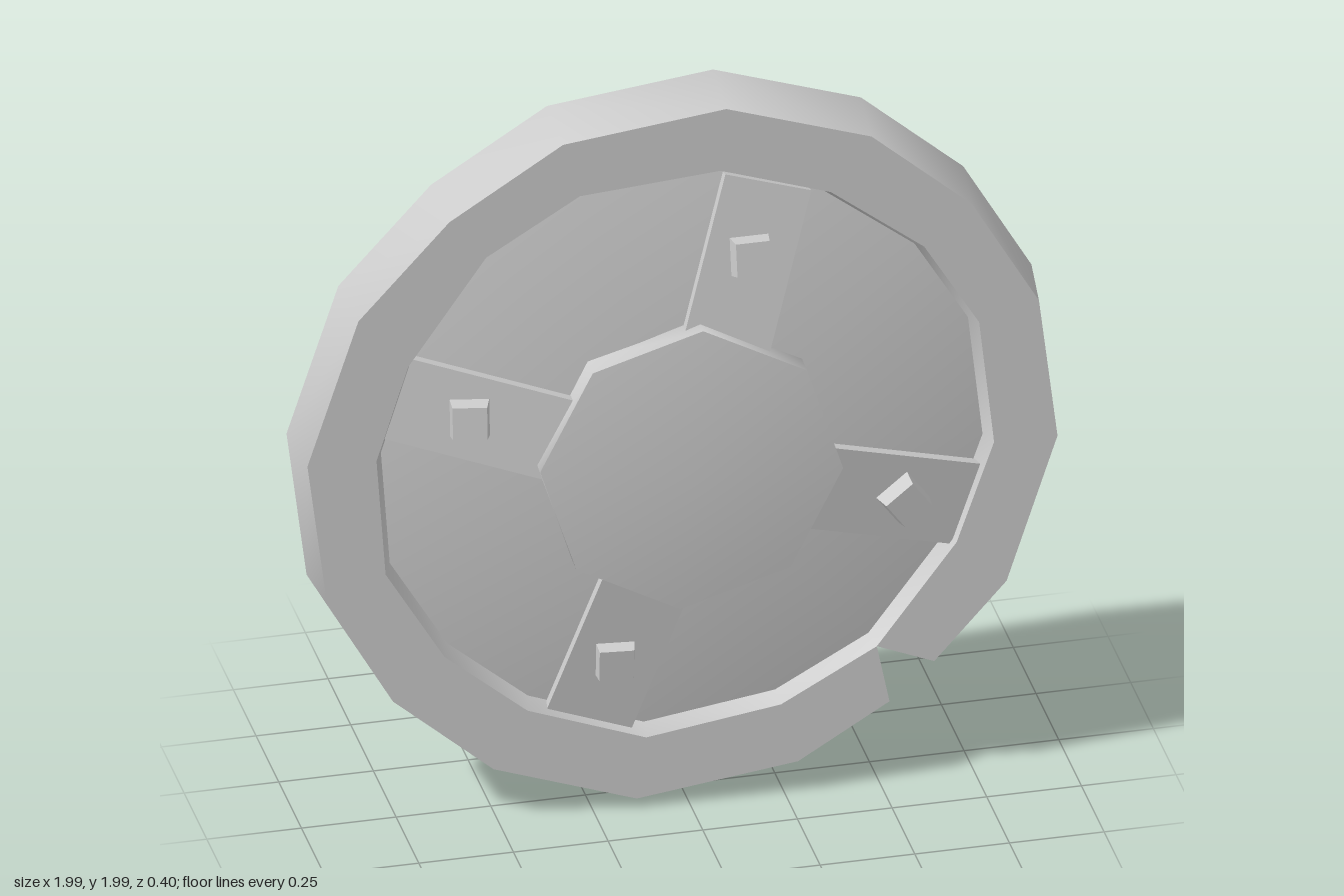
import * as THREE from 'three';
import { toCreasedNormals } from 'three/addons/utils/BufferGeometryUtils.js';

const material = new THREE.MeshStandardMaterial({ color: 0xcccccc, side: THREE.DoubleSide });

// Hand-hewn rim outlines, counter-clockwise from the notch, about the shield centre
const OUTER = [
  [0.655, -0.67], [0.85, -0.455], [0.99, -0.045], [0.945, 0.355], [0.77, 0.655], [0.505, 0.88],
  [0.12, 1.0], [-0.315, 0.94], [-0.62, 0.745], [-0.865, 0.48], [-1.005, 0.07], [-0.957, -0.34],
  [-0.785, -0.64], [-0.52, -0.865], [-0.14, -0.99], [0.29, -0.925], [0.535, -0.775],
];
const INNER = [
  [0.49, -0.595], [0.7, -0.32], [0.8, -0.045], [0.765, 0.3], [0.625, 0.53], [0.385, 0.71],
  [0.1, 0.8], [-0.265, 0.765], [-0.51, 0.615], [-0.715, 0.325], [-0.8, 0.065], [-0.78, -0.26],
  [-0.63, -0.51], [-0.417, -0.685], [-0.11, -0.793], [0.24, -0.735], [0.49, -0.595],
];
const DEPTH = 0.195;
const FRONT = { scale: 0.982, z: -0.05 };  // where the dish front meets the rim
const BACK = { scale: 0.945, z: -0.13 };   // where the flat dish back meets the rim
const PEAK_Z = 0.087;                      // dish height at the centre

function mesh(name, geometry) {
  const m = new THREE.Mesh(geometry, material);
  m.name = name;
  return m;
}

function fromTriangles(points) {
  const g = new THREE.BufferGeometry().setFromPoints(points);
  g.computeVertexNormals();
  return toCreasedNormals(g, 0.6);
}

const at = ([x, y], scale, z) => new THREE.Vector3(x * scale, y * scale, z);

// Rim: a bevelled section swept round the outlines, open at the notch
function rimGeometry() {
  const stations = OUTER.map((o, i) => [
    at(INNER[i], 1.008, 0), at(o, 0.982, 0), at(o, 1, -DEPTH), at(INNER[i], 0.995, -DEPTH),
    at(INNER[i], BACK.scale, BACK.z), at(INNER[i], FRONT.scale, FRONT.z),
  ]);
  const first = stations[0], last = stations[stations.length - 1], n = first.length;
  const pts = [];
  for (let i = 0; i < stations.length - 1; i++) {
    const a = stations[i], b = stations[i + 1];
    for (let k = 0; k < n; k++) {
      const l = (k + 1) % n;
      pts.push(a[k], a[l], b[l], a[k], b[l], b[k]);
    }
  }
  // End faces of the notch
  for (let k = 1; k < n - 1; k++) {
    pts.push(first[0], first[k + 1], first[k], last[0], last[k], last[k + 1]);
  }
  return fromTriangles(pts);
}

// Dish face: a fan from the centre to the inner outline
function fanGeometry(centreZ, { scale, z }) {
  const pts = [];
  const centre = new THREE.Vector3(0, 0, centreZ);
  for (let i = 0; i < INNER.length - 1; i++) {
    pts.push(centre, at(INNER[i], scale, z), at(INNER[i + 1], scale, z));
  }
  return fromTriangles(pts);
}

// Boss: eight-sided plate rising to a low point
function bossGeometry() {
  const profile = [[0.397, 0.01], [0.397, 0.088], [0, 0.137]].map(p => new THREE.Vector2(...p));
  const g = toCreasedNormals(new THREE.LatheGeometry(profile, 8), 0.9);
  return g.rotateX(Math.PI / 2).rotateZ(-0.087);
}

// Strap: raised sloping bar from the boss to the rim, with a tapered stud standing on it
function strap(angle, studTurn, studRise) {
  const group = new THREE.Group();
  group.name = 'strap';
  const from = 0.3, to = 0.785, thick = 0.028;
  const slope = (PEAK_Z - FRONT.z) / 0.786;
  const mid = (from + to) / 2;

  const bar = mesh('strapBar', new THREE.BoxGeometry(to - from, 0.234, thick));
  bar.position.set(mid, 0, PEAK_Z - slope * mid + thick / 2);
  bar.rotation.y = Math.atan(slope);

  const studShape = new THREE.CylinderGeometry(0.063, 0.074, 0.05, 4).toNonIndexed();
  studShape.computeVertexNormals();
  studShape.rotateY(Math.PI / 4).rotateX(Math.PI / 2);
  const stud = mesh('stud', studShape);
  stud.position.set(0.588 - mid, 0, thick / 2 + studRise);
  stud.rotation.z = studTurn - angle;

  bar.add(stud);
  group.add(bar);
  group.rotation.z = angle;
  return group;
}

export function createModel() {
  const shield = new THREE.Group();
  shield.name = 'shield';
  shield.add(
    mesh('rim', rimGeometry()),
    mesh('dishFront', fanGeometry(PEAK_Z, FRONT)),
    mesh('dishBack', fanGeometry(BACK.z, BACK)),
    mesh('boss', bossGeometry()),
  );
  // Strap angle and stud turn in degrees, then stud height above the strap
  const straps = [[73, 0, 0.017], [163, 0, 0.017], [251, 0, 0.008], [343, 36, 0.023]];
  for (const [angle, turn, rise] of straps) {
    shield.add(strap(THREE.MathUtils.degToRad(angle), THREE.MathUtils.degToRad(turn), rise));
  }

  // The whole shield leans slightly back and to one side
  shield.rotation.set(-0.046, -0.049, 0);
  shield.position.set(0, 1, 0.058);

  const model = new THREE.Group();
  model.name = 'roundShield';
  model.add(shield);
  return model;
}
